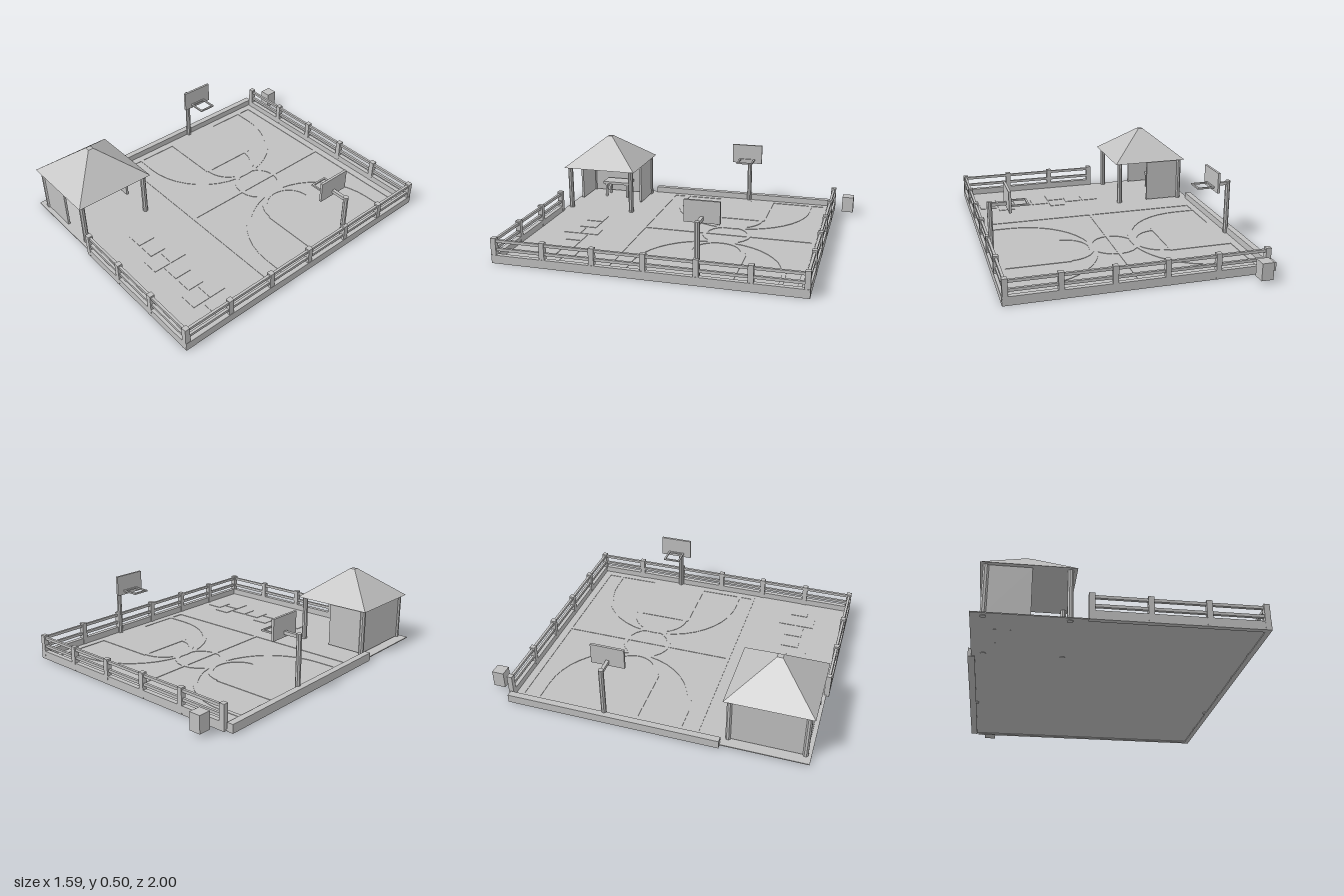
import * as THREE from 'three';

export function createModel() {
  const model = new THREE.Group();
  const grey = new THREE.MeshStandardMaterial({ color: 0xc0c0c0 });
  grey.name = 'plain grey';

  const add = (name, geometry, parent = model) => {
    const mesh = new THREE.Mesh(geometry, grey);
    mesh.name = name;
    parent.add(mesh);
    return mesh;
  };
  const group = (name) => {
    const g = new THREE.Group();
    g.name = name;
    model.add(g);
    return g;
  };
  // Box given by its lower and upper limits on each axis
  const box = (name, x0, x1, y0, y1, z0, z1, parent) =>
    add(name, new THREE.BoxGeometry(x1 - x0, y1 - y0, z1 - z0)
      .translate((x0 + x1) / 2, (y0 + y1) / 2, (z0 + z1) / 2), parent);
  // Faceted upright column
  const column = (name, rTop, rBottom, sides, x, y0, y1, z, parent) => {
    const g = new THREE.CylinderGeometry(rTop, rBottom, y1 - y0, sides)
      .rotateY(Math.PI / sides).toNonIndexed();
    g.computeVertexNormals();
    return add(name, g.translate(x, (y0 + y1) / 2, z), parent);
  };

  const FLOOR = 0.012, PAINT = 0.015;
  box('floor', -0.78, 0.78, 0.006, FLOOR, -0.855, 0.98);

  // Low curbs around the yard
  const curbs = group('curbs');
  box('leftCurb', -0.8, -0.76, 0, 0.052, -0.855, 0.465, curbs);
  box('backCurb', -0.75, 0.79, 0, 0.052, -0.87, -0.84, curbs);
  box('rightCurb', 0.762, 0.792, 0, 0.052, -0.87, 0.995, curbs);
  box('frontCurb', -0.17, 0.79, 0, 0.052, 0.966, 0.996, curbs);

  // Fence on three sides: posts and two rails
  const fence = group('fence');
  const post = (x, z) =>
    box('fencePost', x - 0.016, x + 0.016, 0, 0.155, z - 0.016, z + 0.016, fence);
  for (let i = 0; i < 6; i++) post(-0.737 + i * 0.302, -0.855);
  for (let i = 1; i < 7; i++) post(0.774, -0.855 + i * 0.306);
  for (let i = 0; i < 3; i++) post(-0.16 + i * 0.311, 0.981);
  for (const y of [0.076, 0.128]) {
    box('backRail', -0.737, 0.774, y, y + 0.017, -0.863, -0.847, fence);
    box('rightRail', 0.766, 0.782, y, y + 0.017, -0.855, 0.981, fence);
    box('frontRail', -0.16, 0.774, y, y + 0.017, 0.973, 0.989, fence);
  }

  // Court markings as thin plates
  const court = group('courtMarkings');
  const CZ = -0.245;
  const plate = (name, shape) => {
    const g = new THREE.ExtrudeGeometry(shape,
      { depth: PAINT - FLOOR + 0.001, bevelEnabled: false, curveSegments: 10 });
    add(name, g.rotateX(Math.PI / 2).translate(0, PAINT, 0), court);
  };
  const strip = (name, x0, x1, z0, z1) => box(name, x0, x1, FLOOR - 0.001, PAINT, z0, z1, court);
  const arcBand = (name, cx, rIn, rOut, a0, a1) => {
    const s = new THREE.Shape();
    s.absarc(cx, CZ, rOut, a0, a1, false);
    s.absarc(cx, CZ, rIn, a1, a0, true);
    plate(name, s);
  };
  const outline = new THREE.Shape([[-0.735, -0.815], [0.735, -0.815], [0.735, 0.325], [-0.735, 0.325]]
    .map(p => new THREE.Vector2(...p)));
  outline.holes.push(new THREE.Path([[-0.71, -0.79], [-0.71, 0.3], [0.71, 0.3], [0.71, -0.79]]
    .map(p => new THREE.Vector2(...p))));
  plate('courtBorder', outline);
  strip('centreLine', -0.012, 0.012, -0.8, 0.31);
  const ring = new THREE.Shape().absarc(0, CZ, 0.157, 0, Math.PI * 2, false);
  ring.holes.push(new THREE.Path().absarc(0, CZ, 0.132, 0, Math.PI * 2, true));
  plate('centreCircle', ring);

  for (const s of [-1, 1]) {
    const span = (name, xa, xb, z0, z1) =>
      strip(name, Math.min(s * xa, s * xb), Math.max(s * xa, s * xb), z0, z1);
    const mid = s < 0 ? 0 : Math.PI;
    const half = Math.PI / 2;
    span('lane', 0.31, 0.72, CZ - 0.19, CZ + 0.19);
    span('upperArcLine', 0.58, 0.72, CZ - 0.465, CZ - 0.44);
    span('lowerArcLine', 0.58, 0.72, CZ + 0.44, CZ + 0.465);
    arcBand('longArc', s * 0.58, 0.44, 0.465, mid - half, mid + half);
    arcBand('laneArc', s * 0.31, 0.15, 0.18, mid - half, mid + half);

    // Hoop: pole, arm, backboard and square rim
    const hoop = group(s < 0 ? 'rightHoop' : 'leftHoop');
    const part = (name, xa, xb, y0, y1, z0, z1) =>
      box(name, Math.min(s * xa, s * xb), Math.max(s * xa, s * xb), y0, y1, z0, z1, hoop);
    column('hoopPole', 0.016, 0.016, 8, s * 0.757, 0, 0.365, CZ, hoop);
    part('hoopArm', 0.65, 0.757, 0.338, 0.358, CZ - 0.01, CZ + 0.01);
    part('backboard', 0.642, 0.657, 0.32, 0.45, CZ - 0.104, CZ + 0.104);
    part('rimInner', 0.632, 0.643, 0.34, 0.35, CZ - 0.055, CZ + 0.055);
    part('rimOuter', 0.53, 0.541, 0.34, 0.35, CZ - 0.055, CZ + 0.055);
    part('rimSide', 0.53, 0.642, 0.34, 0.35, CZ - 0.055, CZ - 0.044);
    part('rimSide', 0.53, 0.642, 0.34, 0.35, CZ + 0.044, CZ + 0.055);
  }

  // Hopscotch squares, doubled at the third and sixth columns
  const hop = group('hopscotch');
  for (let i = 0; i < 7; i++) {
    const x = -0.072 + i * 0.122;
    const rows = i === 2 || i === 5 ? [0.612, 0.731] : [0.671];
    for (const z of rows)
      box('hopSquare', x - 0.054, x + 0.054, FLOOR - 0.001, PAINT, z - 0.055, z + 0.055, hop);
  }

  // Shelter: four posts, a full side wall, two half walls and a hipped roof
  const shelter = group('shelter');
  const SX = -0.489, SZ = 0.723;
  for (const x of [-0.713, -0.268])
    for (const z of [0.5, 0.946])
      column('shelterPost', 0.017, 0.017, 8, x, 0.003, 0.308, z, shelter);
  for (const z of [0.5, 0.946])
    box('halfWall', -0.713, -0.47, 0.018, 0.305, z - 0.007, z + 0.007, shelter);
  box('sideWall', -0.72, -0.706, 0.018, 0.305, 0.5, 0.946, shelter);
  column('roof', 0.017 * Math.SQRT2, 0.257 * Math.SQRT2, 4, SX, 0.305, 0.495, SZ, shelter);

  // Bench inside the shelter
  box('benchSeat', -0.67, -0.56, 0.107, 0.125, 0.62, 0.82, shelter);
  for (const x of [-0.66, -0.58])
    for (const z of [0.63, 0.79])
      box('benchLeg', x, x + 0.015, 0.005, 0.107, z, z + 0.015, shelter);

  // Small box standing behind the fence
  box('utilityBox', -0.706, -0.634, 0.02, 0.125, -1, -0.925);

  return model;
}
